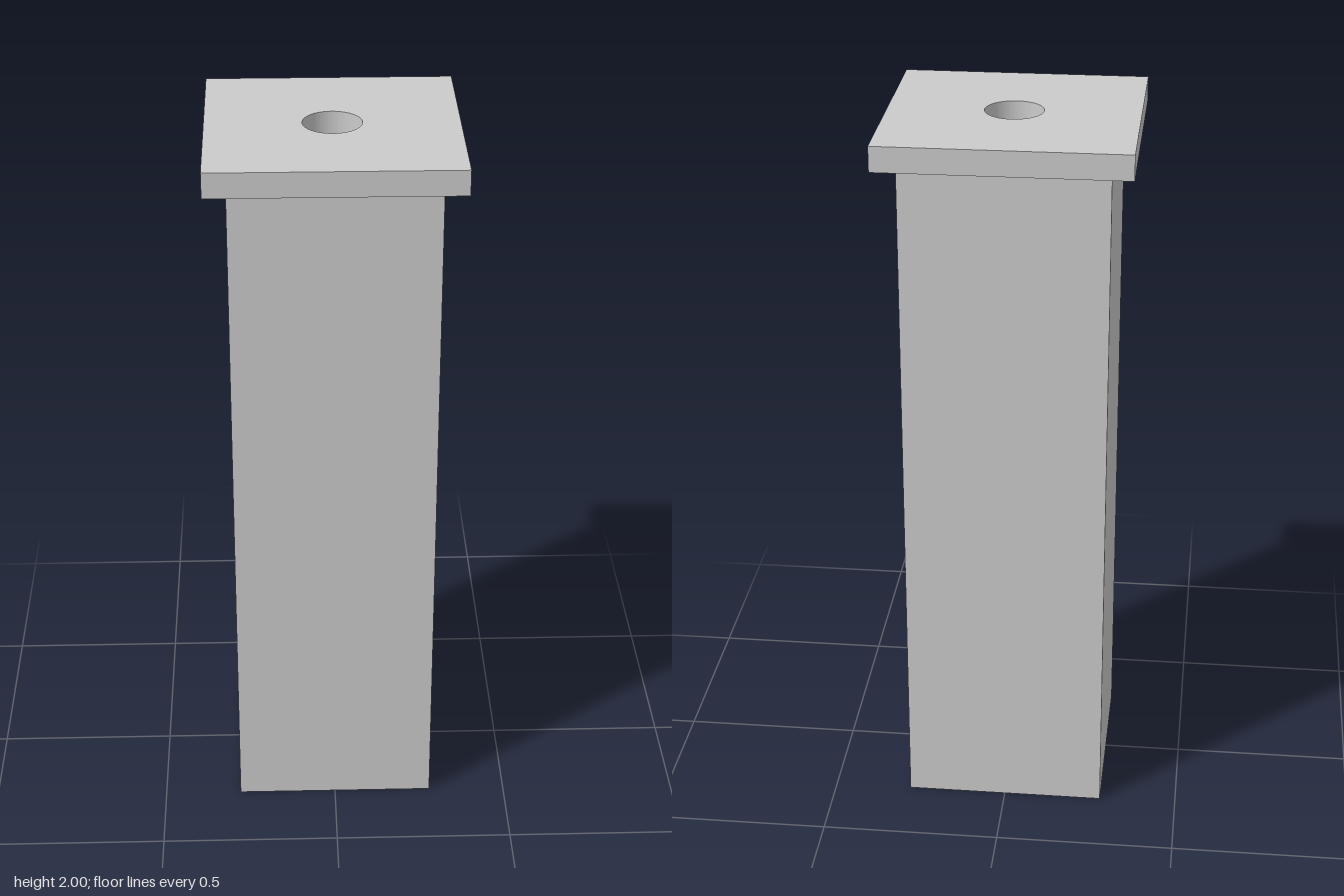
import * as THREE from 'three';

const material = new THREE.MeshStandardMaterial({ color: 0xcccccc });

// Square slab with a centred bore, standing from y0 to y1
function boredSquare(name, half, y0, y1, radius, sides) {
  const shape = new THREE.Shape([
    new THREE.Vector2(-half, -half), new THREE.Vector2(half, -half),
    new THREE.Vector2(half, half), new THREE.Vector2(-half, half),
  ]);
  const bore = [];
  for (let i = 0; i < sides; i++) {
    const a = -i / sides * Math.PI * 2;
    bore.push(new THREE.Vector2(Math.cos(a) * radius, Math.sin(a) * radius));
  }
  shape.holes.push(new THREE.Path(bore));
  const geometry = new THREE.ExtrudeGeometry(shape, { depth: y1 - y0, bevelEnabled: false });
  geometry.rotateX(-Math.PI / 2).translate(0, y0, 0);
  const mesh = new THREE.Mesh(geometry, material);
  mesh.name = name;
  return mesh;
}

export function createModel() {
  const model = new THREE.Group();
  model.name = 'flangedPost';
  const plateBottom = 1.93;

  // Post with a hexagonal socket running up to the plate
  model.add(boredSquare('post', 0.28, 0, plateBottom, 0.163, 6));
  // Top plate with a round bolt hole
  model.add(boredSquare('topPlate', 0.34, plateBottom, 2, 0.08, 64));
  return model;
}
